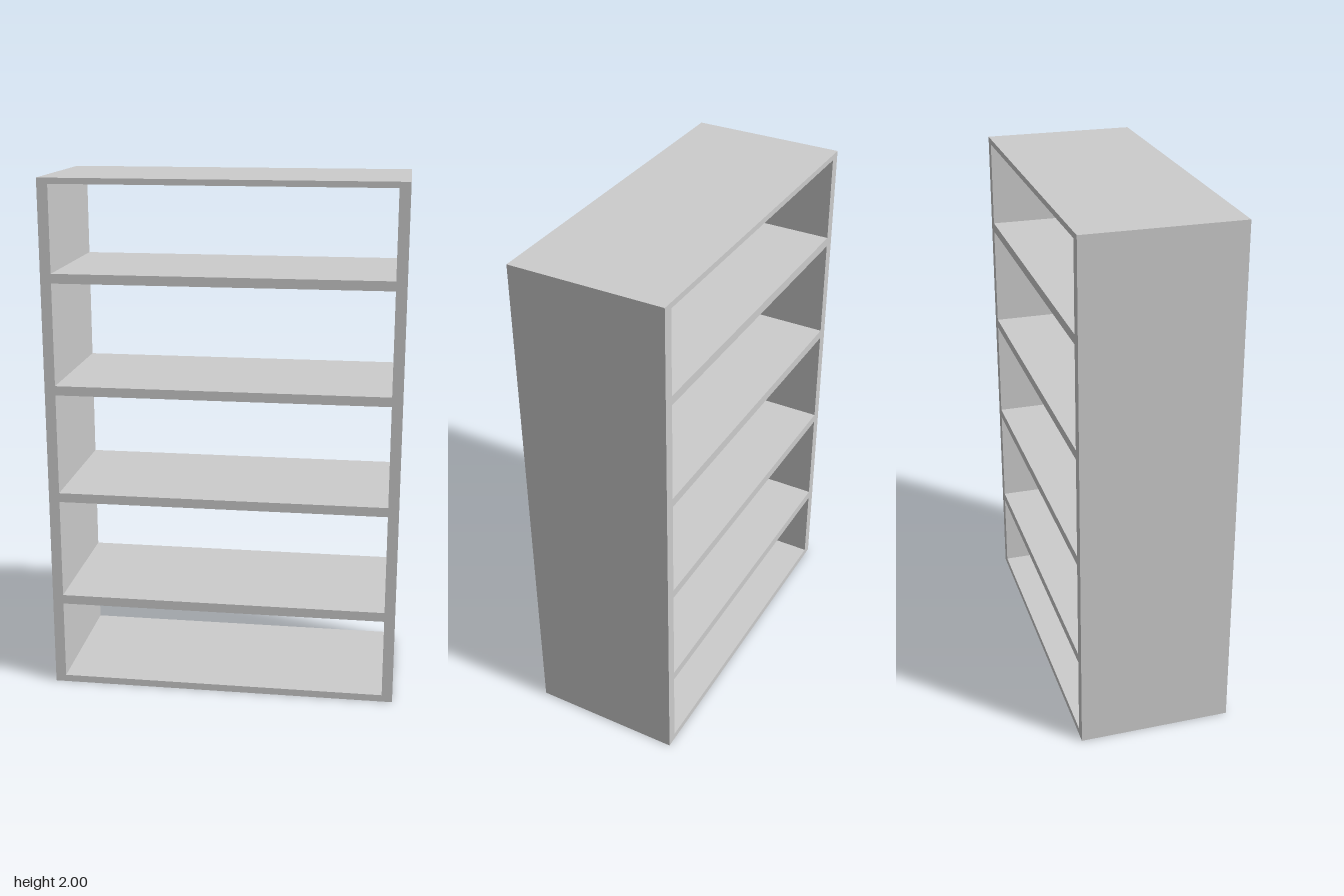
import * as THREE from 'three';

const WIDTH = 1.346, HEIGHT = 2, DEPTH = 0.586;
const INNER = 0.632;                      // half width of the openings
const SHELF = 0.036;                      // shelf thickness
const BOTTOM = 0.027, TOP = 0.022;        // bottom and top panel thickness
const SHELF_Y = [0.356, 0.781, 1.207, 1.633]; // shelf centre heights

function rectangle(target, halfWidth, y0, y1) {
  target.moveTo(-halfWidth, y0);
  target.lineTo(halfWidth, y0);
  target.lineTo(halfWidth, y1);
  target.lineTo(-halfWidth, y1);
  target.closePath();
  return target;
}

export function createModel() {
  const group = new THREE.Group();
  group.name = 'openBookcase';

  // Outer outline: side panels, top and bottom
  const outline = rectangle(new THREE.Shape(), WIDTH / 2, 0, HEIGHT);

  // One through opening between each pair of neighbouring boards
  const floors = [BOTTOM, ...SHELF_Y.map((y) => y + SHELF / 2)];
  const ceilings = [...SHELF_Y.map((y) => y - SHELF / 2), HEIGHT - TOP];
  floors.forEach((floor, i) => {
    outline.holes.push(rectangle(new THREE.Path(), INNER, floor, ceilings[i]));
  });

  // Seamless case and shelves, open at front and back
  const geometry = new THREE.ExtrudeGeometry(outline, { depth: DEPTH, bevelEnabled: false });
  geometry.translate(0, 0, -DEPTH / 2);
  const bookcase = new THREE.Mesh(geometry, new THREE.MeshStandardMaterial({ color: 0xcccccc }));
  bookcase.name = 'caseWithShelves';
  group.add(bookcase);

  return group;
}
